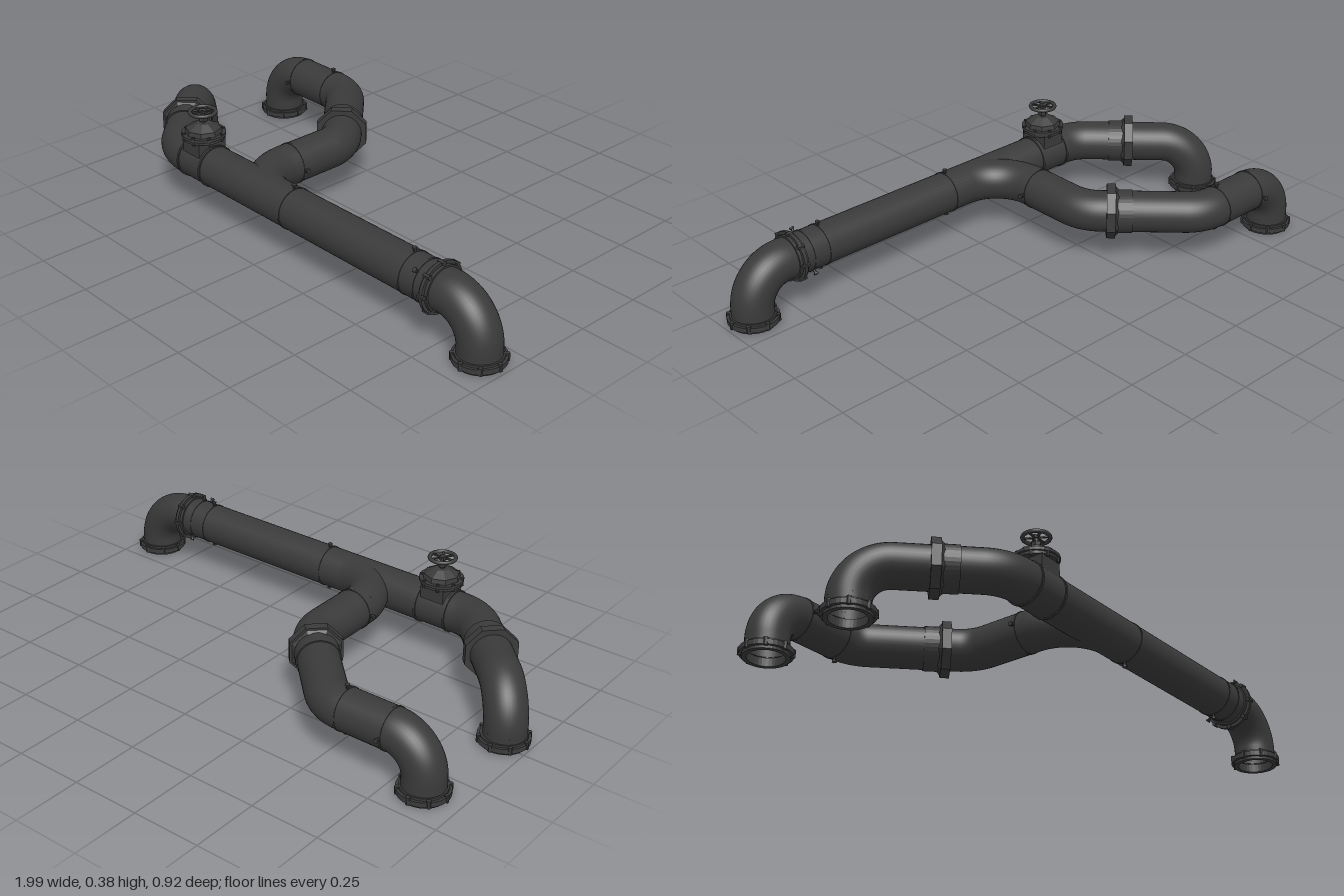
import * as THREE from 'three';

const R = 0.073, Y = 0.187;
const smooth = new THREE.MeshStandardMaterial({ color: 0x3a3a3a, side: THREE.DoubleSide });
const faceted = new THREE.MeshStandardMaterial({ color: 0x3a3a3a, flatShading: true });
const V = (x, y, z) => new THREE.Vector3(x, y, z);

// Circular arc leaving `start` along `dir` and turning towards `side`
class Arc extends THREE.Curve {
  constructor(start, dir, side, radius, angle) {
    super();
    Object.assign(this, { start, dir, side, radius, angle });
  }
  getPoint(t, target = new THREE.Vector3()) {
    const a = t * this.angle;
    return target.copy(this.start)
      .addScaledVector(this.dir, this.radius * Math.sin(a))
      .addScaledVector(this.side, this.radius * (1 - Math.cos(a)));
  }
}

function add(parent, name, geometry, material, x = 0, y = 0, z = 0) {
  const mesh = new THREE.Mesh(geometry, material);
  mesh.name = name;
  mesh.position.set(x, y, z);
  parent.add(mesh);
  return mesh;
}

const tube = (curve, steps) => new THREE.TubeGeometry(curve, steps, R, 36, false);

// Pipe run through corner points, each corner rounded by its bend radius
function pipeRun(name, points, radii) {
  const run = new THREE.Group();
  run.name = name;
  let from = points[0];
  for (let i = 1; i < points.length; i++) {
    const p = points[i];
    const d = p.clone().sub(points[i - 1]).normalize();
    if (i === points.length - 1) {
      add(run, 'straightPipe', tube(new THREE.LineCurve3(from, p), 1), smooth);
      break;
    }
    const out = points[i + 1].clone().sub(p).normalize();
    const angle = d.angleTo(out), cut = radii[i - 1] * Math.tan(angle / 2);
    const start = p.clone().addScaledVector(d, -cut);
    const side = out.clone().addScaledVector(d, -out.dot(d)).normalize();
    add(run, 'straightPipe', tube(new THREE.LineCurve3(from, start), 1), smooth);
    add(run, 'elbow', tube(new Arc(start, d, side, radii[i - 1], angle), 20), smooth);
    from = p.clone().addScaledVector(out, cut);
  }
  return run;
}

// Group whose local y follows a horizontal pipe axis and whose local z points up
function onPipe(name, x, z, dx, dz) {
  const group = new THREE.Group();
  group.name = name;
  const axis = V(dx, 0, dz).normalize(), up = V(0, 1, 0);
  const side = axis.clone().cross(up);
  group.quaternion.setFromRotationMatrix(new THREE.Matrix4().makeBasis(side, axis, up));
  group.position.set(x, Y, z);
  return group;
}

// Radial bolt: hex head on a short shank
function radialBolt(parent, angle, radius) {
  const bolt = new THREE.Group();
  bolt.name = 'bolt';
  add(bolt, 'shank', new THREE.CylinderGeometry(0.005, 0.005, 0.014, 8), faceted, 0, 0, 0);
  add(bolt, 'head', new THREE.CylinderGeometry(0.009, 0.009, 0.006, 6), faceted, 0, 0.009, 0);
  bolt.position.set(Math.cos(angle) * radius, 0, Math.sin(angle) * radius);
  bolt.quaternion.setFromUnitVectors(V(0, 1, 0), V(Math.cos(angle), 0, Math.sin(angle)));
  parent.add(bolt);
}

// Thin seam band with radial bolts at the given angles in degrees
function seam(x, z, dx, dz, angles) {
  const g = onPipe('seamBand', x, z, dx, dz);
  add(g, 'band', new THREE.CylinderGeometry(R + 0.002, R + 0.002, 0.008, 36), faceted);
  for (const a of angles) radialBolt(g, THREE.MathUtils.degToRad(a), R + 0.006);
  return g;
}

// Octagonal union nut with a round sleeve beside it
function unionNut(x, z, dx, dz) {
  const g = onPipe('unionNut', x, z, dx, dz);
  const nut = add(g, 'octagonNut', new THREE.CylinderGeometry(0.097, 0.097, 0.032, 8), faceted);
  nut.rotation.y = Math.PI / 8;
  add(g, 'nutShoulder', new THREE.CylinderGeometry(0.078, 0.09, 0.012, 8), faceted, 0, 0.021, 0).rotation.y = Math.PI / 8;
  add(g, 'sleeve', new THREE.CylinderGeometry(R + 0.004, R + 0.004, 0.09, 36), faceted, 0, 0.03, 0);
  return g;
}

// Bolted ring flange on a horizontal pipe
function ringFlange(x, z, dx, dz) {
  const g = onPipe('ringFlange', x, z, dx, dz);
  add(g, 'ring', new THREE.CylinderGeometry(0.09, 0.09, 0.012, 36), faceted);
  add(g, 'collar', new THREE.CylinderGeometry(0.079, 0.079, 0.034, 36), faceted);
  for (let i = 0; i < 8; i++) {
    const a = i * Math.PI / 4;
    add(g, 'bolt', new THREE.CylinderGeometry(0.008, 0.008, 0.026, 6), faceted,
      Math.cos(a) * 0.086, 0, Math.sin(a) * 0.086);
  }
  return g;
}

// Open bolted flange at the foot of a pipe
function footFlange(x, z) {
  const g = new THREE.Group();
  g.name = 'footFlange';
  const profile = [[0.062, 0.03], [0.062, 0], [0.078, 0], [0.078, 0.01], [0.088, 0.01],
    [0.088, 0.028], [0.079, 0.028], [0.079, 0.036], [0.07, 0.036]].map(p => new THREE.Vector2(...p));
  const geo = new THREE.LatheGeometry(profile, 36);
  const mat = faceted.clone();
  mat.side = THREE.DoubleSide;
  add(g, 'flange', geo, mat);
  for (let i = 0; i < 8; i++) {
    const a = i * Math.PI / 4;
    add(g, 'bolt', new THREE.CylinderGeometry(0.008, 0.008, 0.027, 6), faceted,
      Math.cos(a) * 0.084, 0.0205, Math.sin(a) * 0.084);
  }
  g.position.set(x, 0, z);
  return g;
}

// Gate valve with bonnet, stem and handwheel
function makeValve(x, z) {
  const g = new THREE.Group();
  g.name = 'valve';
  g.position.set(x, 0, z);
  for (const s of [-1, 1]) {
    const band = add(g, 'bodyBand', new THREE.CylinderGeometry(R + 0.004, R + 0.004, 0.008, 36), faceted, s * 0.06, Y, 0);
    band.rotation.z = Math.PI / 2;
  }
  add(g, 'neck', new THREE.BoxGeometry(0.092, 0.09, 0.116), faceted, 0, 0.24, 0);
  const disc = (name, top, bottom, y0, y1, sides) =>
    add(g, name, new THREE.CylinderGeometry(top, bottom, y1 - y0, sides), faceted, 0, (y0 + y1) / 2, 0);
  disc('lowerFlange', 0.073, 0.073, 0.281, 0.29, 32);
  disc('upperFlange', 0.078, 0.078, 0.292, 0.302, 32);
  disc('flangeGasket', 0.07, 0.07, 0.289, 0.293, 32);
  disc('bonnetBase', 0.062, 0.066, 0.302, 0.318, 8);
  disc('bonnet', 0.026, 0.058, 0.318, 0.337, 8);
  disc('stem', 0.008, 0.008, 0.337, 0.384, 12);
  disc('glandNut', 0.016, 0.016, 0.344, 0.358, 6);
  for (let i = 0; i < 8; i++) {
    const a = (i + 0.5) * Math.PI / 4;
    add(g, 'bolt', new THREE.CylinderGeometry(0.006, 0.006, 0.03, 6), faceted,
      Math.cos(a) * 0.071, 0.292, Math.sin(a) * 0.071);
  }
  const wheel = new THREE.Group();
  wheel.name = 'handwheel';
  wheel.position.y = 0.377;
  add(wheel, 'rim', new THREE.TorusGeometry(0.045, 0.007, 8, 32), smooth).rotation.x = Math.PI / 2;
  add(wheel, 'hub', new THREE.CylinderGeometry(0.014, 0.014, 0.012, 12), faceted);
  for (let i = 0; i < 3; i++) {
    add(wheel, 'spoke', new THREE.BoxGeometry(0.088, 0.005, 0.008), faceted).rotation.y = i * Math.PI / 3;
  }
  g.add(wheel);
  return g;
}

export function createModel() {
  const model = new THREE.Group();
  model.name = 'pipeline';
  const zMain = 0.366, zBack = -0.371, xBranch = -0.203;

  // Main line with both ends turned down, and the branch curving out of it
  model.add(pipeRun('mainLine', [V(0.904, 0.008, zMain), V(0.904, Y, zMain), V(-0.574, Y, zMain),
    V(-0.911, Y, 0.027), V(-0.911, 0.008, 0.027)], [0.13, 0.17, 0.13]));
  model.add(pipeRun('branchLine', [V(-0.01, Y, zMain), V(xBranch, Y, zMain), V(xBranch, Y, -0.075),
    V(-0.5, Y, zBack), V(-0.868, Y, zBack), V(-0.868, 0.008, zBack)], [0.18, 0.15, 0.15, 0.12]));

  // Foot flanges
  model.add(footFlange(0.904, zMain), footFlange(-0.908, 0.027), footFlange(-0.868, zBack));

  // Joints along the pipes
  model.add(ringFlange(0.737, zMain, 1, 0));
  model.add(unionNut(-0.272, -0.144, -1, -1), unionNut(-0.73, 0.21, 1, 1));
  model.add(seam(0.06, zMain, 1, 0, [90, 270]), seam(0.622, zMain, 1, 0, [90, 270]));
  model.add(seam(0.685, zMain, 1, 0, [45, 225]));
  model.add(seam(xBranch, 0.155, 0, 1, [0, 180]));
  model.add(seam(-0.57, zBack, 1, 0, [90, 270]), seam(-0.745, zBack, 1, 0, [0, 180]));

  model.add(makeValve(-0.424, zMain));
  return model;
}
